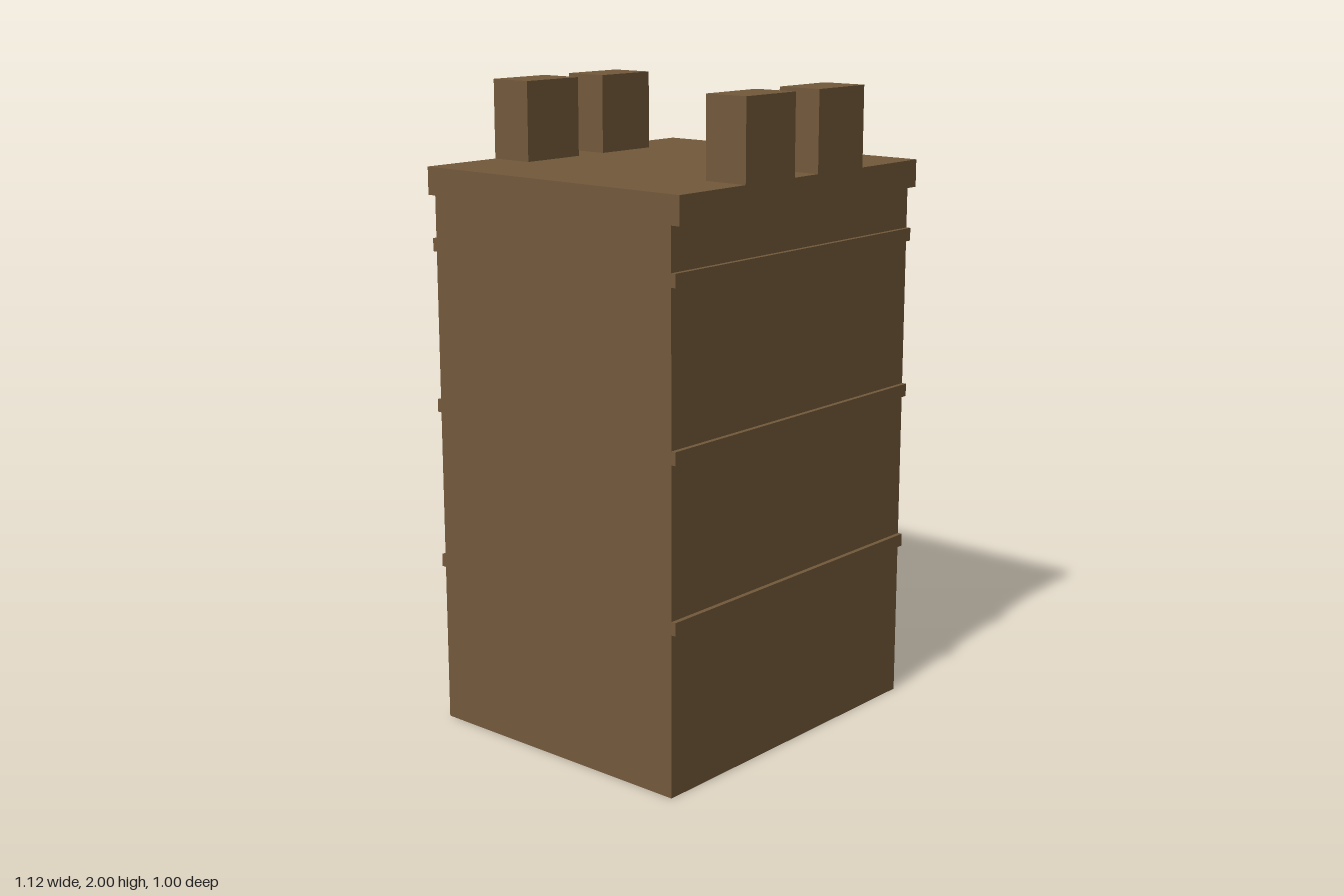
import * as THREE from 'three';

const WIDTH = 1.12;

export function createModel() {
  const group = new THREE.Group();
  const brown = new THREE.MeshStandardMaterial({ color: 0x73593b });
  brown.name = 'brown stone';

  // Box given by its lower and upper heights
  function block(name, x, z, w, d, y0, y1) {
    const mesh = new THREE.Mesh(new THREE.BoxGeometry(w, y1 - y0, d), brown);
    mesh.name = name;
    mesh.position.set(x, (y0 + y1) / 2, z);
    group.add(mesh);
  }

  // Tower body and overhanging roof slab
  block('towerBody', 0, 0, WIDTH, 0.94, 0, 1.67);
  block('roofSlab', 0, 0, WIDTH, 1.0, 1.67, 1.755);

  for (const side of [1, -1]) {
    const face = side > 0 ? 'front' : 'back';

    // Thin ledges across the front and back
    [0.5, 1.0, 1.5].forEach((y, i) =>
      block(`${face}Ledge${i + 1}`, 0, side * 0.4775, WIDTH, 0.015, y, y + 0.04));

    // Pair of battlement blocks on the roof edge
    block(`${face}LeftMerlon`, 0.165, side * 0.4275, 0.22, 0.145, 1.755, 2);
    block(`${face}RightMerlon`, -0.1675, side * 0.4275, 0.223, 0.145, 1.755, 2);
  }

  return group;
}
